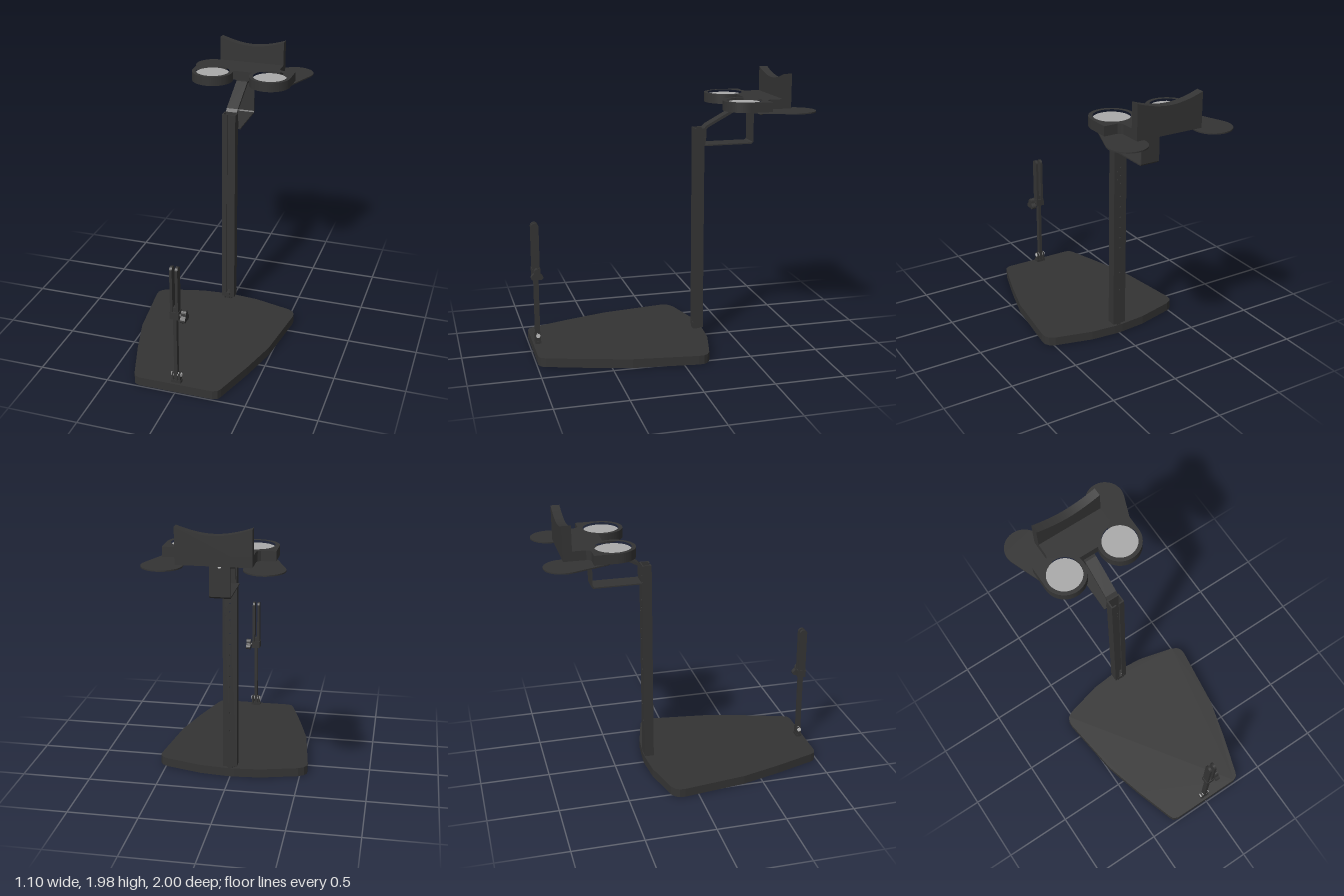
import * as THREE from 'three';

const mat = (name, color) => {
  const m = new THREE.MeshStandardMaterial({ color });
  m.name = name;
  return m;
};

export function createModel() {
  const group = new THREE.Group();
  const black = mat('matte black', 0x343434);
  const lensGrey = mat('pad grey', 0xaaaaaa);
  const steel = mat('steel', 0xc8c8c8);

  const add = (name, geo, material = black) => {
    const mesh = new THREE.Mesh(geo, material);
    mesh.name = name;
    group.add(mesh);
    return mesh;
  };
  const toShape = pts => new THREE.Shape(pts.map(p => new THREE.Vector2(p[0], p[1])));
  const circle = (x, y, r) => new THREE.Path().absarc(x, y, r, 0, Math.PI * 2, true);
  const extrude = (shape, depth) =>
    new THREE.ExtrudeGeometry(shape, { depth, bevelEnabled: false, curveSegments: 24 });
  // Outline in x, z raised from y0 to y1
  const slab = (shape, y0, y1) => extrude(shape, y1 - y0).rotateX(Math.PI / 2).translate(0, y1, 0);
  // Outline in z, y spread from x0 to x1
  const side = (shape, x0, x1) => extrude(shape, x1 - x0).rotateY(-Math.PI / 2).translate(x1, 0, 0);
  const box = (x0, x1, y0, y1, z0, z1) =>
    new THREE.BoxGeometry(x1 - x0, y1 - y0, z1 - z0)
      .translate((x0 + x1) / 2, (y0 + y1) / 2, (z0 + z1) / 2);
  const rodX = (r, x0, x1, y, z, n = 20) =>
    new THREE.CylinderGeometry(r, r, x1 - x0, n).rotateZ(Math.PI / 2).translate((x0 + x1) / 2, y, z);
  const mirrored = half => [...half, ...half.slice().reverse().map(([x, y]) => [-x, y])];

  // Foot platform
  add('platform', slab(toShape(mirrored([
    [0.03, -0.28], [0.22, -0.263], [0.49, -0.194], [0.53, -0.17], [0.548, -0.14], [0.55, -0.1],
    [0.49, 0.36], [0.41, 0.65], [0.315, 0.945], [0.3, 0.975], [0.265, 0.99]])), 0, 0.065));

  // Rear post: channel with a perforated back plate
  const back = toShape([[-0.05, 0.08], [0.05, 0.08], [0.05, 1.585], [-0.05, 1.585]]);
  [0.36, 0.5, 0.7, 0.78, 0.86, 0.94, 1.02, 1.1, 1.2, 1.26, 1.32].forEach(y =>
    back.holes.push(circle(0, y, 0.006)));
  [1.23, 1.29].forEach(y => back.holes.push(circle(0.025, y, 0.005)));
  add('postBack', extrude(back, 0.01).translate(0, 0, -0.28));
  for (const s of [-1, 1]) {
    add('postWall', box(s * 0.045 - 0.005, s * 0.045 + 0.005, 0.08, 1.585, -0.27, -0.215));
    add('postLip', box(s * 0.031 - 0.019, s * 0.031 + 0.019, 0.08, 1.585, -0.223, -0.213));
    add('postHingeEar', box(s * 0.024 - 0.006, s * 0.024 + 0.006, 0.06, 0.115, -0.26, -0.212));
  }
  add('postHingeBlock', box(-0.015, 0.015, 0.06, 0.11, -0.275, -0.212));
  add('postHingeBolt', rodX(0.013, -0.034, 0.034, 0.09, -0.237), steel);

  // Sloping strap and square loop under the head
  add('slopingStrap', side(toShape([
    [-0.28, 1.5], [-0.28, 1.585], [-0.3, 1.605], [-0.54, 1.735], [-0.64, 1.735],
    [-0.64, 1.722], [-0.55, 1.718], [-0.31, 1.59], [-0.295, 1.575], [-0.295, 1.5]]), -0.042, 0.042));
  add('squareLoop', side(toShape([
    [-0.28, 1.46], [-0.63, 1.46], [-0.643, 1.473], [-0.643, 1.735], [-0.634, 1.735],
    [-0.634, 1.477], [-0.626, 1.469], [-0.28, 1.469]]), -0.07, 0.07));
  add('loopTab', box(-0.05, 0.05, 1.46, 1.52, -0.289, -0.28));
  add('strapBolt', new THREE.CylinderGeometry(0.012, 0.012, 0.012, 16)
    .rotateX(Math.PI / 2).translate(0, 1.68, -0.646), steel);

  // Head plate with two round openings
  const half = [[0.072, -0.56]];
  for (let i = 0; i <= 36; i++) {
    const a = (1 - i / 36) * Math.PI * 197 / 180;
    half.push([0.22 + 0.153 * Math.cos(a), -0.515 + 0.153 * Math.sin(a)]);
  }
  half.push([0.373, -0.67], [0.275, -0.67], [0.255, -0.682], [0.248, -0.7], [0.248, -0.855]);
  const head = toShape(mirrored(half));
  for (const s of [-1, 1]) head.holes.push(circle(s * 0.22, -0.515, 0.125));
  add('headPlate', slab(head, 1.735, 1.803));

  // Backrest with a dipped top edge
  const rest = new THREE.Shape();
  rest.moveTo(-0.248, 1.735);
  rest.lineTo(0.248, 1.735);
  rest.lineTo(0.248, 1.98);
  rest.quadraticCurveTo(0.11, 1.93, 0, 1.93);
  rest.quadraticCurveTo(-0.11, 1.93, -0.248, 1.98);
  add('backrest', extrude(rest, 0.062).translate(0, 0, -0.855));

  // Round pads and swinging paddles on each side
  for (const s of [-1, 1]) {
    add('roundPad', new THREE.CylinderGeometry(0.125, 0.125, 0.04, 48)
      .translate(s * 0.22, 1.767, -0.515), lensGrey);
    const big = [0.327, -0.865, 0.135], small = [0.305, -0.61, 0.065];
    const dx = small[0] - big[0], dz = small[1] - big[1];
    const along = Math.atan2(dz, dx);
    const spread = Math.acos((big[2] - small[2]) / Math.hypot(dx, dz));
    const pts = [];
    const arc = ([x, z, r], a0, a1) => {
      for (let i = 0; i <= 28; i++) {
        const a = a0 + (a1 - a0) * i / 28;
        pts.push([s * (x + r * Math.cos(a)), z + r * Math.sin(a)]);
      }
    };
    arc(big, along + spread, along - spread + Math.PI * 2);
    arc(small, along - spread, along + spread);
    add('paddle', slab(toShape(pts), 1.725, 1.734));
    add('paddleBolt', new THREE.CylinderGeometry(0.016, 0.012, 0.012, 16)
      .translate(s * 0.335, 1.72, -0.6));
  }

  // Front stand: hinged rod, slotted fork and knob
  const z = 0.953;
  add('standRod', box(-0.012, 0.012, 0.08, 0.66, z - 0.018, z + 0.018));
  add('standFoot', box(-0.035, 0.035, 0.06, 0.085, z - 0.02, z + 0.02));
  for (const s of [-1, 1]) {
    add('standEar', box(s * 0.024 - 0.007, s * 0.024 + 0.007, 0.08, 0.14, z - 0.018, z + 0.018));
    const blade = new THREE.Shape();
    blade.moveTo(z - 0.027, 0.585);
    blade.lineTo(z + 0.027, 0.585);
    blade.lineTo(z + 0.027, 0.935);
    blade.absarc(z, 0.935, 0.027, 0, Math.PI, false);
    add('forkBlade', side(blade, s * 0.019 - 0.009, s * 0.019 + 0.009));
  }
  add('standBolt', rodX(0.015, -0.036, 0.036, 0.125, z), steel);
  add('forkCollar', box(-0.032, 0.032, 0.575, 0.63, z - 0.03, z + 0.03));
  add('knobStem', rodX(0.014, 0.02, 0.05, 0.597, z));
  const knob = [];
  for (let i = 0; i < 36; i++) {
    const a = i / 36 * Math.PI * 2;
    const r = 0.037 + 0.011 * Math.cos(3 * (a - Math.PI / 2));
    knob.push([z + r * Math.cos(a), 0.593 + r * Math.sin(a)]);
  }
  add('knob', side(toShape(knob), 0.045, 0.08));

  return group;
}
